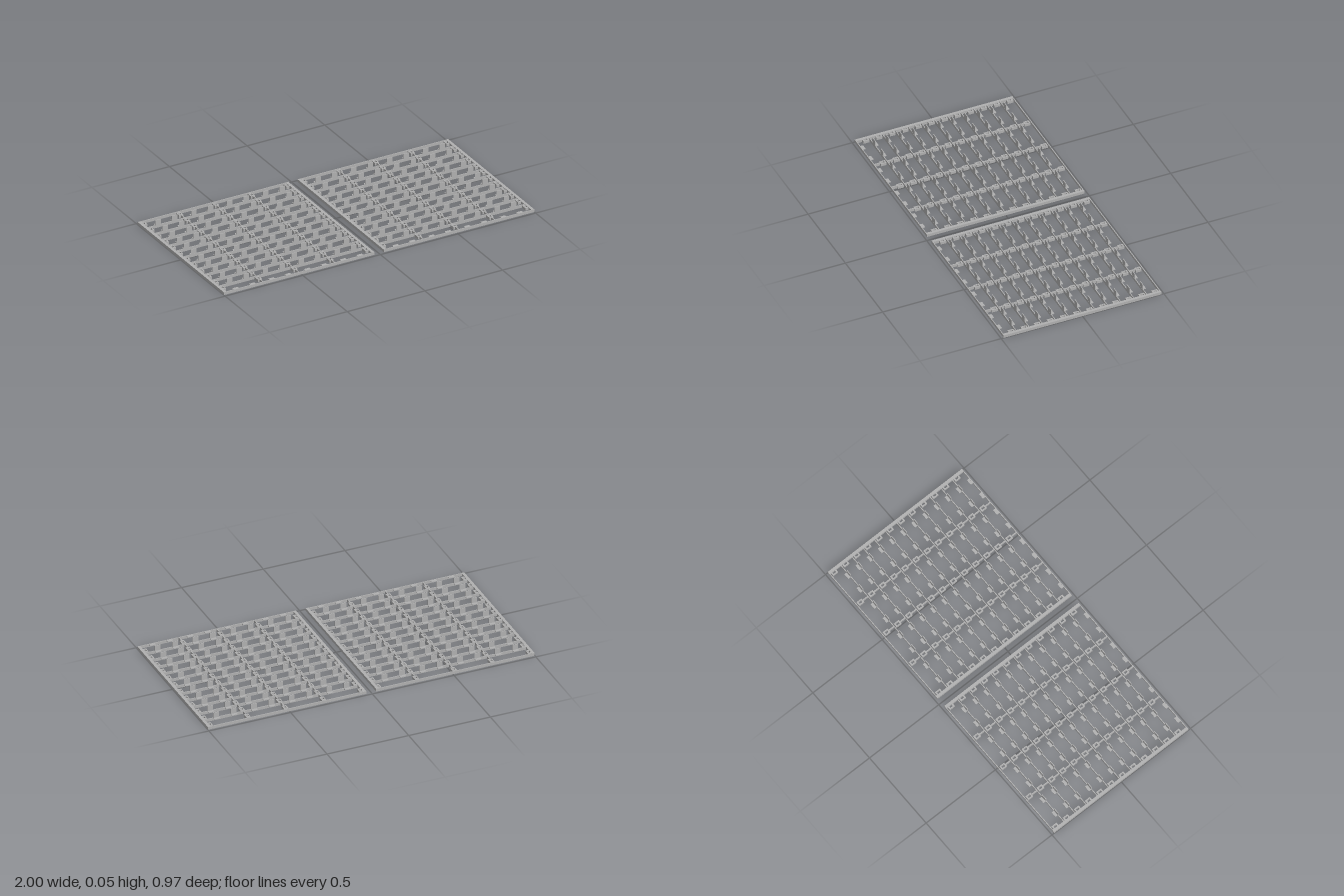
import * as THREE from 'three';

const steel = new THREE.MeshStandardMaterial({ color: 0xb0b0b0 });
steel.name = 'steel grey';

const HEIGHT = 0.017;
const WIDTH = 0.97;
const DEPTH = 0.97;
const ROWS = 12;
const PITCH = (DEPTH - 0.005) / ROWS;
const BAY = 0.2308;

// Box given by its centre on the floor plan and its bottom and top heights
function addBox(group, name, x, z, w, d, y0 = 0, y1 = HEIGHT) {
  const mesh = new THREE.Mesh(new THREE.BoxGeometry(w, y1 - y0, d), steel);
  mesh.position.set(x, (y0 + y1) / 2, z);
  mesh.name = name;
  group.add(mesh);
}

function rectangle(Type, w, d) {
  return new Type([
    new THREE.Vector2(-w / 2, -d / 2), new THREE.Vector2(w / 2, -d / 2),
    new THREE.Vector2(w / 2, d / 2), new THREE.Vector2(-w / 2, d / 2),
  ]);
}

// Hollow square sleeve standing upright
function makeSleeveGeometry() {
  const shape = rectangle(THREE.Shape, 0.026, 0.036);
  shape.holes.push(rectangle(THREE.Path, 0.014, 0.018));
  const geometry = new THREE.ExtrudeGeometry(shape, { depth: HEIGHT - 0.001, bevelEnabled: false });
  return geometry.rotateX(-Math.PI / 2);
}

function makePanel(name) {
  const panel = new THREE.Group();
  panel.name = name;
  const sleeveGeometry = makeSleeveGeometry();
  const firstJoint = -WIDTH / 2 + 0.0235;

  // Side rails
  for (const side of [-1, 1]) {
    addBox(panel, 'sideRail', side * (WIDTH / 2 - 0.0085), 0, 0.017, DEPTH);
  }

  // Thin bars running front to back between the bays
  for (let j = 1; j < 4; j++) {
    for (let r = 0; r < ROWS; r++) {
      const back = -DEPTH / 2 + 0.0025 + r * PITCH;
      const start = back + 0.044;
      const end = back + PITCH;
      addBox(panel, 'crossBar', firstJoint + j * BAY, (start + end) / 2, 0.006, end - start);
    }
  }

  for (let r = 0; r <= ROWS; r++) {
    const z = -DEPTH / 2 + 0.0025 + r * PITCH;

    // Slat across the whole panel
    addBox(panel, 'slat', 0, z, WIDTH - 0.002, 0.005, 0, HEIGHT - 0.0005);

    // Sleeves in front of each slat
    if (r < ROWS) {
      for (let j = 0; j < 5; j++) {
        const sleeve = new THREE.Mesh(sleeveGeometry, steel);
        sleeve.position.set(firstJoint + j * BAY, 0, z + 0.026);
        sleeve.name = 'sleeve';
        panel.add(sleeve);
      }
    }

    // Two clips per bay: a foot behind the slat and an upright tab on inner slats
    if (r === 0) continue;
    for (let j = 0; j < 4; j++) {
      for (const offset of [0.06, 0.167]) {
        const x = firstJoint + j * BAY + offset;
        addBox(panel, 'clipFoot', x, z - 0.01, 0.035, 0.018, 0.012, 0.016);
        if (r < ROWS) addBox(panel, 'clipTab', x, z, 0.035, 0.0045, 0.012, 0.048);
      }
    }
  }
  return panel;
}

export function createModel() {
  const model = new THREE.Group();
  model.name = 'grating';
  const left = makePanel('leftPanel');
  left.position.x = 0.515;
  const right = makePanel('rightPanel');
  right.position.x = -0.515;
  model.add(left, right);
  return model;
}
